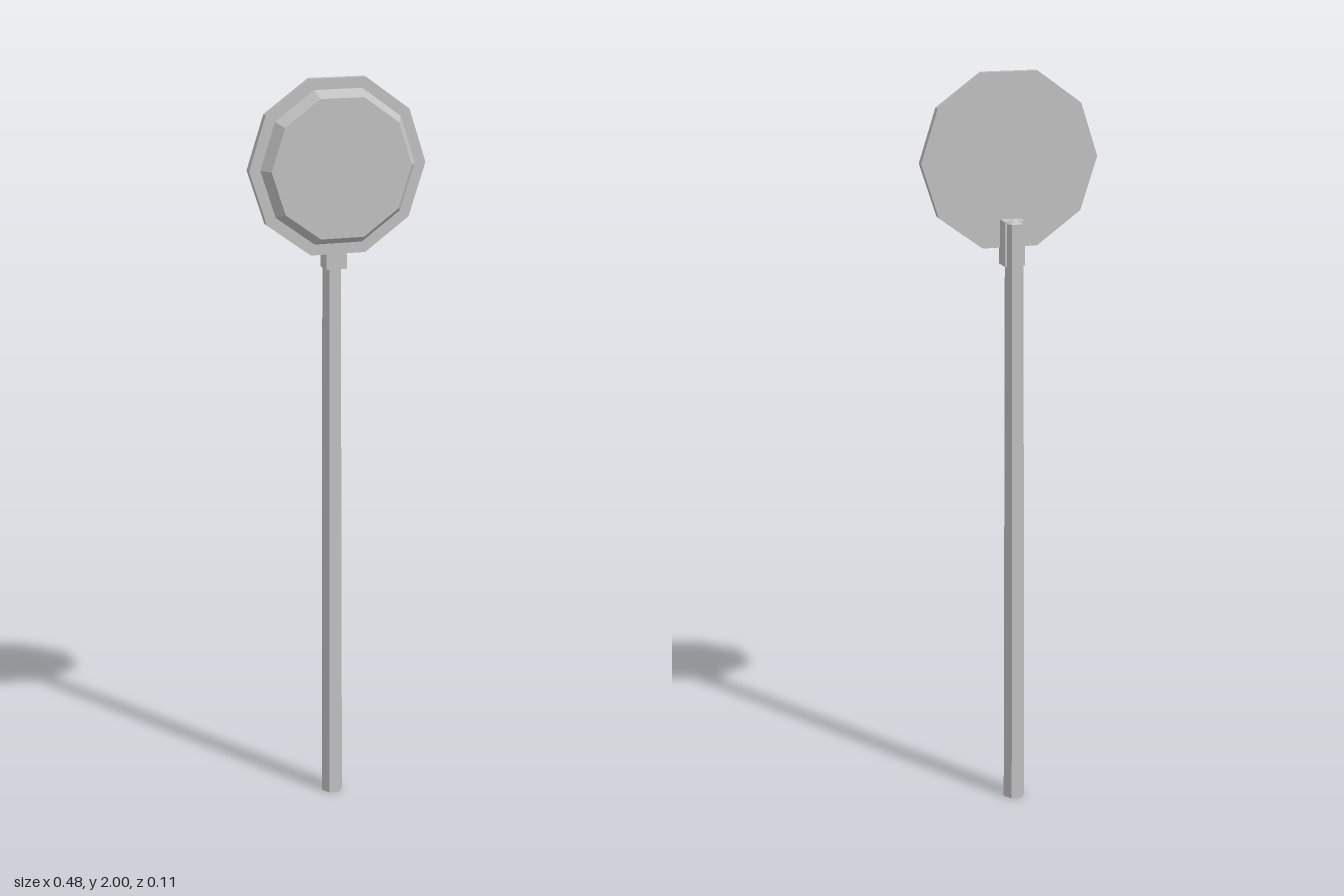
import * as THREE from 'three';

export function createModel() {
  const model = new THREE.Group();
  const greyMetal = new THREE.MeshStandardMaterial({ color: 0xc2c2c2, flatShading: true });
  greyMetal.name = 'greyMetal';

  const poleZ = -0.033;
  const signY = 1.772;

  function add(name, geometry, x, y, z) {
    const mesh = new THREE.Mesh(geometry, greyMetal);
    mesh.name = name;
    mesh.position.set(x, y, z);
    model.add(mesh);
    return mesh;
  }

  // Faceted cylinder with corners on the x axis
  const prism = (top, bottom, height, sides, open = false) =>
    new THREE.CylinderGeometry(top, bottom, height, sides, 1, open, Math.PI / 2);

  // Slightly tapered six-sided pole with a shallow pointed cap
  const poleHeight = 1.612;
  add('pole', prism(0.0255, 0.03, poleHeight, 6), 0, poleHeight / 2, poleZ);
  add('poleCap', prism(0, 0.0255, 0.013, 6, true), 0, poleHeight + 0.0065, poleZ);

  // Block that joins the pole to the disc
  add('bracket', new THREE.BoxGeometry(0.056, 0.118, 0.05), 0, 1.559, -0.015);

  // Ten-sided disc: flat back plate and bevelled raised face
  const plate = add('backPlate', prism(0.24, 0.24, 0.022, 10), 0, signY, 0.011);
  const face = add('raisedFace', prism(0.19, 0.21, 0.034, 10), 0, signY, 0.039);
  for (const part of [plate, face]) part.rotation.x = Math.PI / 2;

  return model;
}
